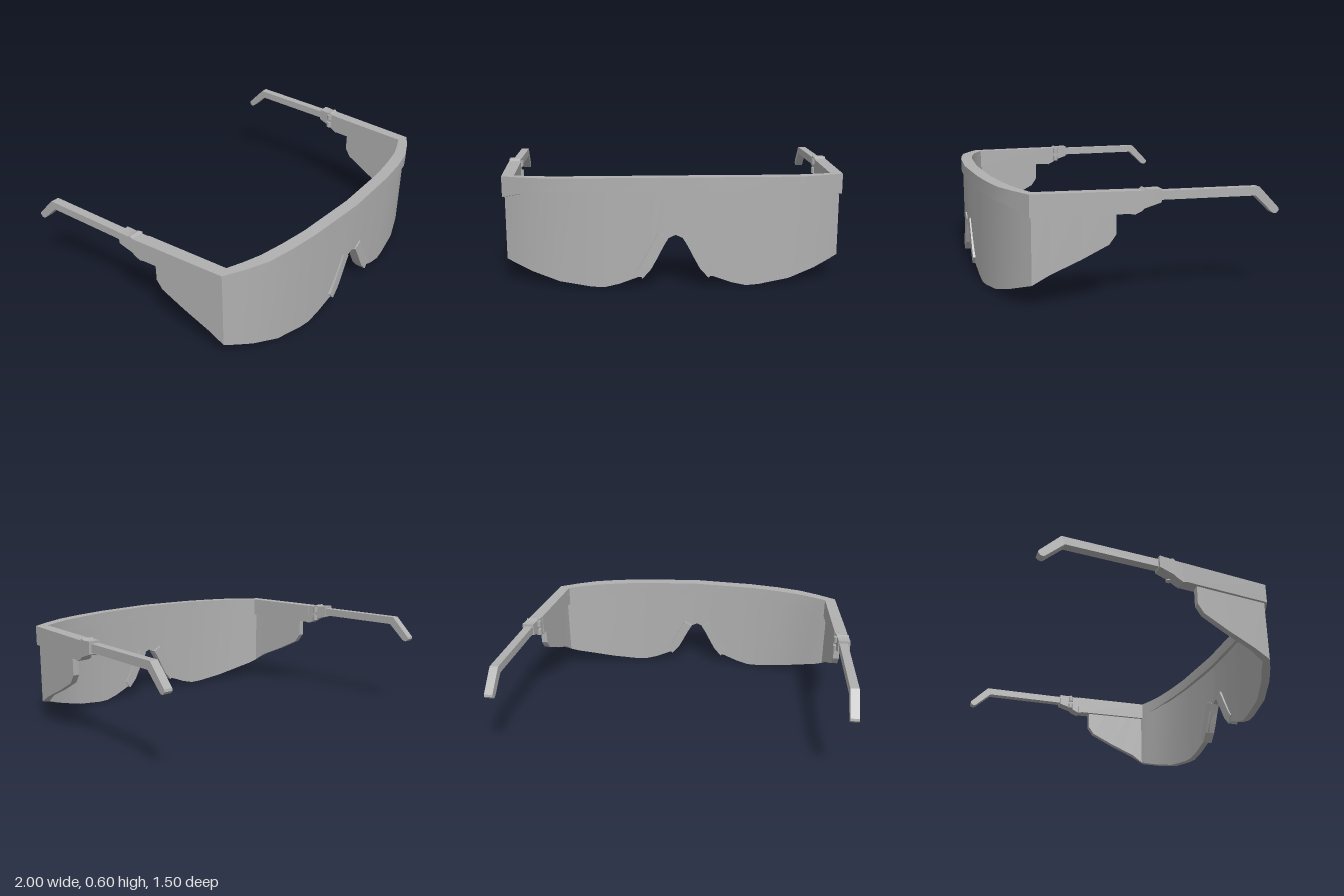
import * as THREE from 'three';
import { toCreasedNormals } from 'three/addons/utils/BufferGeometryUtils.js';

const grey = new THREE.MeshStandardMaterial({ color: 0xb0b0b0 });
grey.name = 'plain grey';

// Closed wall lofted through sections { o: outer [x, z], i: inner [x, z], b: bottom, t: top }
function wall(sections) {
  const pos = [];
  const rings = sections.map(({ o, i, b, t }) => [
    [o[0], b, o[1]], [o[0], t, o[1]], [i[0], t, i[1]], [i[0], b, i[1]],
  ]);
  const quad = (a, b, c, d) => pos.push(...a, ...b, ...c, ...a, ...c, ...d);
  for (let k = 0; k < rings.length - 1; k++) {
    for (let j = 0; j < 4; j++) {
      const n = (j + 1) % 4;
      quad(rings[k][j], rings[k + 1][j], rings[k + 1][n], rings[k][n]);
    }
  }
  quad(...rings[0]);
  quad(...rings[rings.length - 1].slice().reverse());
  const g = new THREE.BufferGeometry();
  g.setAttribute('position', new THREE.Float32BufferAttribute(pos, 3));
  return toCreasedNormals(g, 0.5);
}

// Full left-right run of sections from the half that starts at the centre
function mirrored(half) {
  const flip = half.slice(1).reverse().map((s) => ({
    ...s, o: [-s.o[0], s.o[1]], i: [-s.i[0], s.i[1]],
  }));
  return [...flip, ...half];
}

// Side profile of [z, y] points, given a width and a centre line x = c(z)
function sidePart(points, width, side, c) {
  const shape = new THREE.Shape(points.map(([z, y]) => new THREE.Vector2(-z, y)));
  const g = new THREE.ExtrudeGeometry(shape, { depth: width, bevelEnabled: false });
  g.translate(0, 0, -width / 2).rotateY(Math.PI / 2);
  const p = g.attributes.position;
  for (let k = 0; k < p.count; k++) p.setX(k, p.getX(k) + side * c(p.getZ(k)));
  return toCreasedNormals(g, 0.5);
}

// Depth of the front curve at a given x
const curve = [[0, 0.75], [0.15, 0.745], [0.37, 0.729], [0.55, 0.705], [0.7, 0.673], [0.93, 0.56]];
function frontZ(x) {
  let k = 1;
  while (k < curve.length - 1 && x > curve[k][0]) k++;
  const [a, b] = [curve[k - 1], curve[k]];
  return a[1] + ((b[1] - a[1]) * (x - a[0])) / (b[0] - a[0]);
}

export function createModel() {
  const model = new THREE.Group();
  const add = (name, geometry, parent = model) => {
    const m = new THREE.Mesh(geometry, grey);
    m.name = name;
    parent.add(m);
    return m;
  };

  // Brow bar wrapping back into the side arms
  add('browFrame', wall(mirrored([
    { o: [0, 0.75], i: [0, 0.68], b: 0.524, t: 0.598 },
    { o: [0.37, 0.729], i: [0.38, 0.66], b: 0.52, t: 0.594 },
    { o: [0.55, 0.705], i: [0.54, 0.636], b: 0.515, t: 0.59 },
    { o: [0.7, 0.673], i: [0.68, 0.607], b: 0.51, t: 0.586 },
    { o: [0.82, 0.62], i: [0.78, 0.572], b: 0.495, t: 0.583 },
    { o: [0.93, 0.56], i: [0.865, 0.535], b: 0.467, t: 0.58 },
    { o: [0.974, 0.04], i: [0.902, 0.04], b: 0.465, t: 0.58 },
  ])));

  // One-piece wraparound lens with a nose notch and side shields
  const lowerEdge = [[0, 0.29], [0.037, 0.273], [0.064, 0.23], [0.13, 0.11], [0.176, 0.06], [0.2, 0.058],
    [0.3, 0.02], [0.38, 0], [0.45, 0.002], [0.62, 0.025], [0.77, 0.068], [0.86, 0.1]];
  const shield = [[0.55, 0.12], [0.46, 0.17], [0.3, 0.24], [0.16, 0.31], [0.125, 0.36]];
  const lens = lowerEdge.map(([x, b]) => {
    const z = frontZ(x) - 0.01;
    return { o: [x, z], i: [x * 0.97, z - 0.038], b, t: 0.55 };
  });
  shield.forEach(([z, b], k) => {
    const x = 0.917 + (0.55 - z) * 0.08;
    lens.push({ o: [x, z], i: [x - 0.036, z - (k ? 0 : 0.022)], b, t: 0.55 });
  });
  add('lens', wall(mirrored(lens)));

  for (const side of [1, -1]) {
    const tag = side > 0 ? 'left' : 'right';

    // Nose pad along the notch edge
    const pad = new THREE.Shape([
      [0.176, 0.053], [0.21, 0.096], [0.185, 0.13], [0.145, 0.2], [0.09, 0.305],
      [0.037, 0.275], [0.064, 0.23], [0.1, 0.16], [0.13, 0.105],
    ].map(([x, y]) => new THREE.Vector2(side * x, y)));
    const padGeo = new THREE.ExtrudeGeometry(pad, { depth: 0.06, bevelEnabled: false });
    padGeo.translate(0, 0, 0.685);
    add(tag + 'NosePad', padGeo);

    const arm = new THREE.Group();
    arm.name = tag + 'Arm';
    model.add(arm);

    // Hinge housing tapering down to the temple
    add('hinge', sidePart([
      [0.07, 0.466], [0.035, 0.46], [0, 0.477], [-0.015, 0.49], [-0.1, 0.517],
      [-0.1, 0.587], [-0.035, 0.584], [-0.02, 0.591], [-0.005, 0.58], [0.07, 0.579],
    ], 0.068, side, (z) => 0.943 - 0.08 * z), arm);

    // Hinge knuckles on the inner face
    for (const y of [0.505, 0.56]) {
      const knuckle = add('hingeKnuckle', new THREE.CylinderGeometry(0.017, 0.017, 0.035, 10), arm);
      knuckle.position.set(side * 0.911, y, -0.02);
    }

    // Temple with a hooked ear end
    add('temple', sidePart([
      [-0.08, 0.527], [-0.615, 0.527], [-0.71, 0.437], [-0.722, 0.429], [-0.738, 0.431],
      [-0.75, 0.445], [-0.747, 0.458], [-0.635, 0.573], [-0.08, 0.573],
    ], 0.048, side, (z) => 0.942 - 0.045 * z), arm);
  }
  return model;
}
